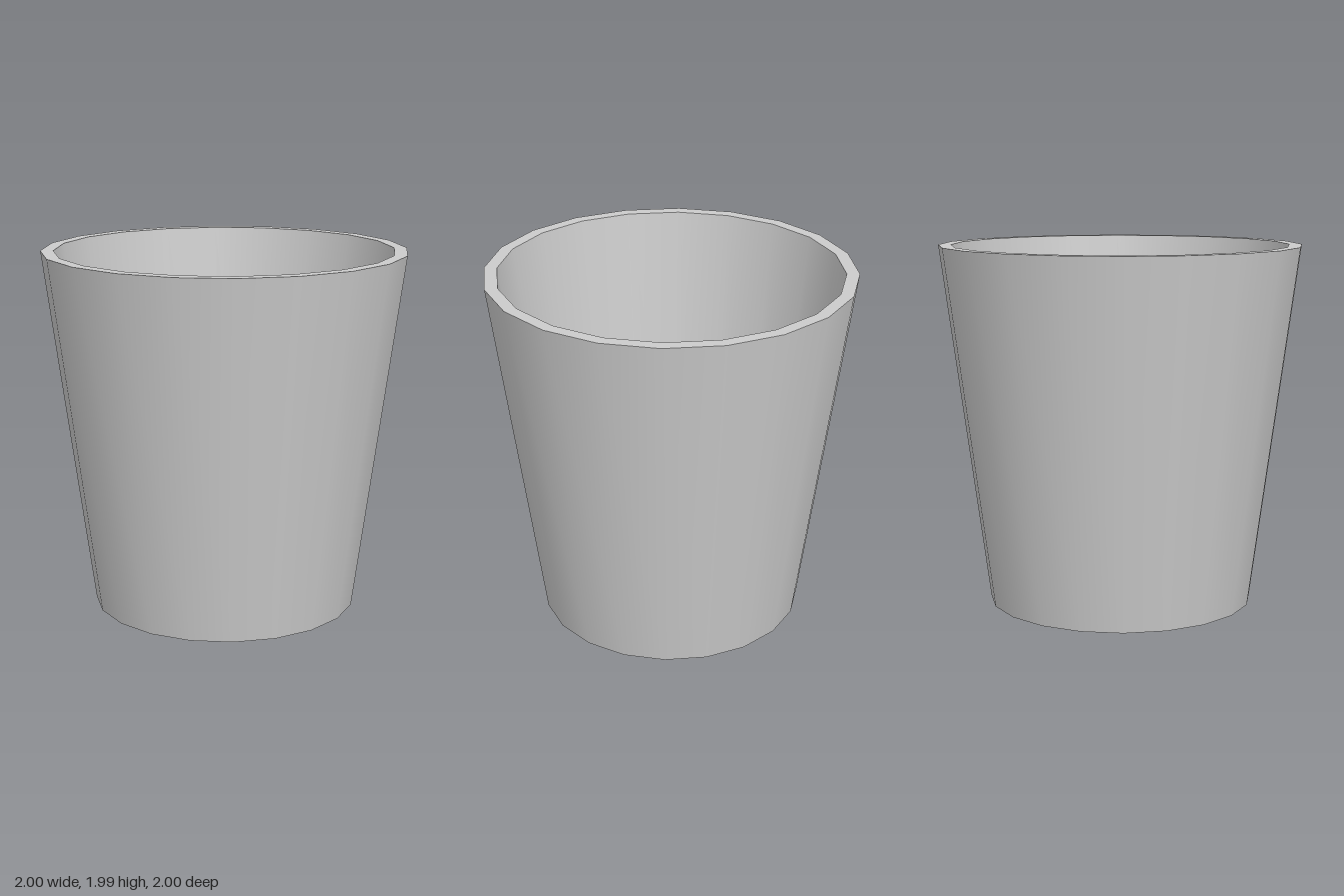
import * as THREE from 'three';

const SIDES = 20;

// Cross-section from the underside centre, up the outside, over the rim, down to the inner floor
const PROFILE = [[0, 0], [0.735, 0], [1, 1.99], [0.93, 1.99], [0.69, 0.05], [0, 0.05]];
const NAMES = ['underside', 'outerWall', 'rim', 'innerWall', 'innerFloor'];

export function createModel() {
  const cup = new THREE.Group();
  cup.name = 'cup';
  const material = new THREE.MeshStandardMaterial({ color: 0xcccccc });

  // One lathed band per section: smooth around, sharp between sections
  NAMES.forEach((name, i) => {
    const section = [PROFILE[i], PROFILE[i + 1]].map(([r, y]) => new THREE.Vector2(r, y));
    const mesh = new THREE.Mesh(new THREE.LatheGeometry(section, SIDES), material);
    mesh.name = name;
    cup.add(mesh);
  });

  return cup;
}
